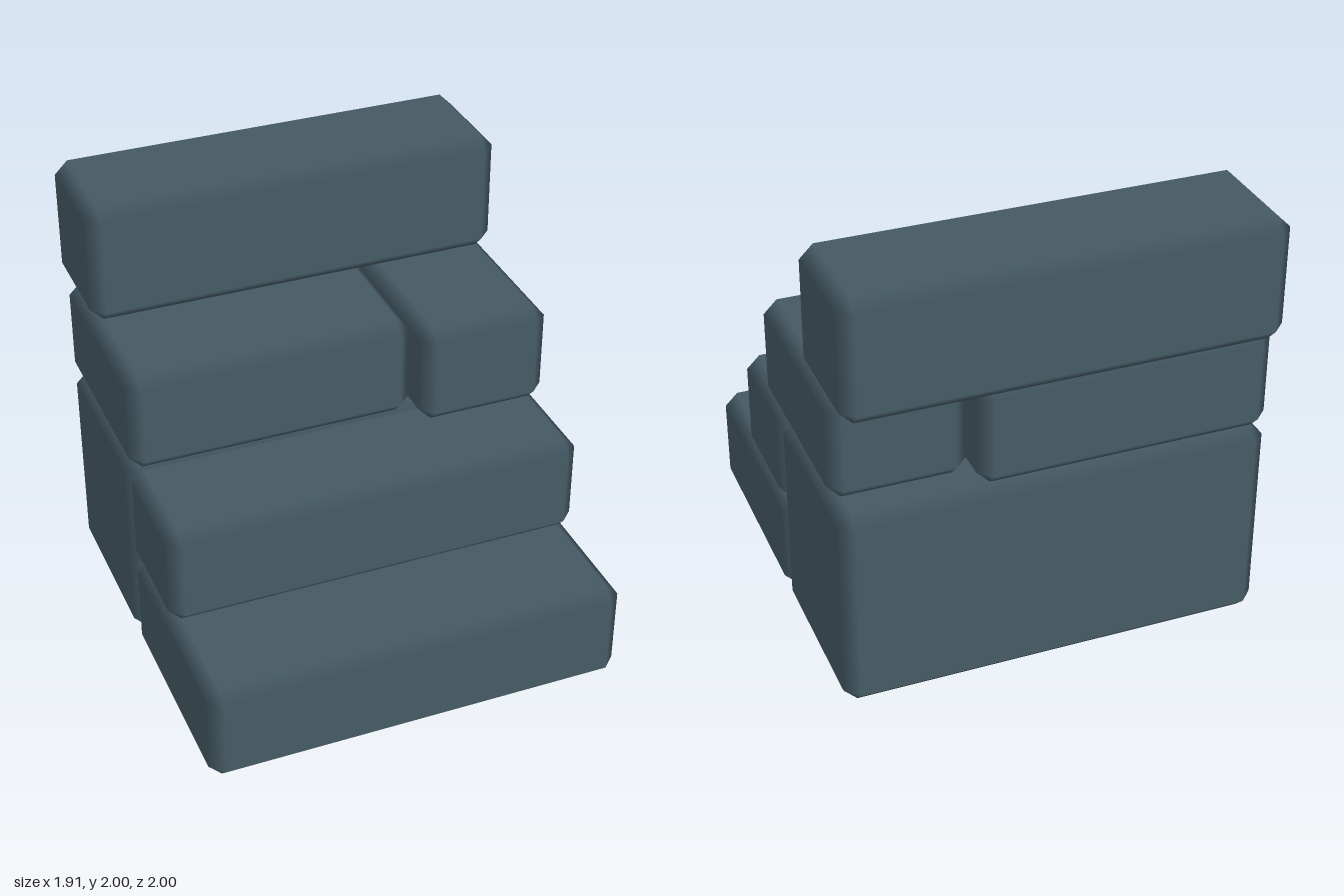
import * as THREE from 'three';
import { ConvexGeometry } from 'three/addons/geometries/ConvexGeometry.js';
import { mergeVertices } from 'three/addons/utils/BufferGeometryUtils.js';

const CHAMFER = 0.06;

// Box with one chamfer on every edge, shaded smoothly across the chamfers.
function chamferedBox(w, h, d) {
  const half = [w / 2, h / 2, d / 2];
  const points = [];
  for (const sx of [-1, 1]) for (const sy of [-1, 1]) for (const sz of [-1, 1]) {
    const signs = [sx, sy, sz];
    for (let axis = 0; axis < 3; axis++) {
      const p = signs.map((s, i) => s * (half[i] - (i === axis ? 0 : CHAMFER)));
      points.push(new THREE.Vector3(...p));
    }
  }
  let geometry = new ConvexGeometry(points);
  geometry.deleteAttribute('normal');
  geometry = mergeVertices(geometry);
  geometry.computeVertexNormals();

  // Each corner point keeps the normal of the flat face it belongs to.
  const { position, normal } = geometry.attributes;
  for (let v = 0; v < position.count; v++) {
    const p = [position.getX(v), position.getY(v), position.getZ(v)];
    normal.setXYZ(v, ...p.map((c, i) => (Math.abs(c) > half[i] - CHAMFER / 2 ? Math.sign(c) : 0)));
  }
  return geometry;
}

export function createModel() {
  const model = new THREE.Group();
  model.name = 'stoneSteps';
  const stone = new THREE.MeshStandardMaterial({ color: 0x455a64 });
  stone.name = 'slateStone';

  // name, x range, y range, z range
  const blocks = [
    ['bottomStep', [-0.955, 0.955], [0, 0.48], [-0.05, 1]],
    ['secondStep', [-0.955, 0.955], [0.48, 0.96], [-0.05, 0.52]],
    ['backBase', [-0.955, 0.955], [0, 0.96], [-0.91, -0.05]],
    ['thirdStepLong', [-0.955, 0.355], [0.96, 1.437], [-0.91, 0.04]],
    ['thirdStepShort', [0.355, 0.955], [0.96, 1.437], [-0.79, 0.16]],
    ['topStep', [-0.955, 0.955], [1.437, 2], [-1, -0.437]],
  ];
  for (const [name, ...ranges] of blocks) {
    const mesh = new THREE.Mesh(chamferedBox(...ranges.map(([a, b]) => b - a)), stone);
    mesh.name = name;
    mesh.position.set(...ranges.map(([a, b]) => (a + b) / 2));
    model.add(mesh);
  }
  return model;
}
